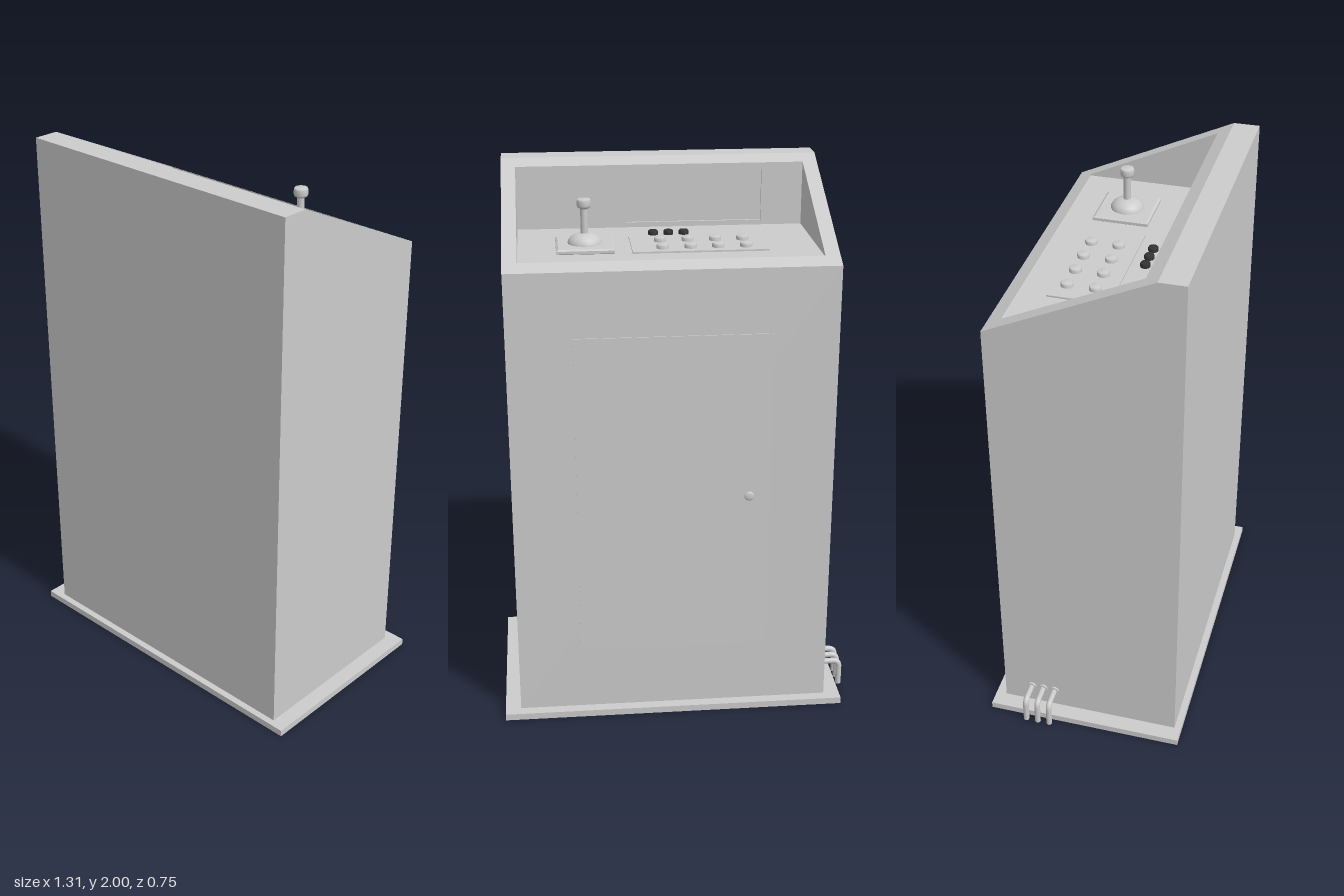
import * as THREE from 'three';

const grey = new THREE.MeshStandardMaterial({ color: 0xcccccc, side: THREE.DoubleSide });
const dark = new THREE.MeshStandardMaterial({ color: 0x333333 });

// Cabinet extents, recess opening and the sloping top
const X0 = -0.565, X1 = 0.597, Z0 = -0.335, Z1 = 0.345, Y0 = 0.02;
const RX0 = -0.512, RX1 = 0.545, RZ0 = -0.285, RZ1 = 0.2, FLOOR = 1.744;
const slopeY = z => Math.min(2, 1.725 + (z - Z0) * (0.275 / (0.25 - Z0)));

const poly = pts => new THREE.Shape(pts.map(p => new THREE.Vector2(...p)));
const rect = (a, b, c, d) => [[a, c], [b, c], [b, d], [a, d]];

export function createModel() {
  const model = new THREE.Group();

  function add(parent, name, geometry, x = 0, y = 0, z = 0, material = grey) {
    const mesh = new THREE.Mesh(geometry, material);
    mesh.name = name;
    mesh.position.set(x, y, z);
    parent.add(mesh);
    return mesh;
  }
  function group(name) {
    const g = new THREE.Group();
    g.name = name;
    model.add(g);
    return g;
  }
  // Flat sheet from a 2D outline, placed in space by the rule place(u, v)
  function sheet(parent, name, outline, place, hole) {
    const shape = poly(outline);
    if (hole) shape.holes.push(poly(hole));
    const g = new THREE.ShapeGeometry(shape);
    const p = g.attributes.position;
    for (let i = 0; i < p.count; i++) p.setXYZ(i, ...place(p.getX(i), p.getY(i)));
    // Wind every sheet so that it faces away from the inside of the cabinet
    g.computeVertexNormals();
    return add(parent, name, g);
  }

  // Base skirt: an open frame around the foot of the cabinet
  const skirt = poly(rect(-0.625, 0.655, -0.37, 0.375));
  skirt.holes.push(poly(rect(X0 + 0.01, X1 - 0.01, -Z1 + 0.01, -Z0 - 0.01)));
  const skirtGeo = new THREE.ExtrudeGeometry(skirt, { depth: 0.025, bevelEnabled: false });
  add(model, 'baseFrame', skirtGeo.rotateX(-Math.PI / 2));

  // Hollow cabinet shell
  const shell = group('cabinet');
  const side = [[Z1, Y0], [Z1, 2], [0.25, 2], [Z0, 1.725], [Z0, Y0]];
  sheet(shell, 'rightSide', side, (z, y) => [X0, y, z]);
  sheet(shell, 'leftSide', side, (z, y) => [X1, y, -z]).scale.z = -1;
  sheet(shell, 'frontPanel', rect(X0, X1, Y0, 2), (x, y) => [x, y, Z1]);
  sheet(shell, 'backPanel', rect(-X1, -X0, Y0, 1.725), (x, y) => [-x, y, Z0]);
  sheet(shell, 'topEdge', rect(X0, X1, -Z1, -0.25), (x, z) => [x, 2, -z]);
  sheet(shell, 'slopingRim', rect(X0, X1, -0.25, -Z0), (x, z) => [x, slopeY(-z), -z],
    rect(RX0, RX1, -RZ1, -RZ0));

  // Sunken control bay
  const bay = group('controlBay');
  const cheek = [[RZ0, FLOOR], [RZ1, FLOOR], [RZ1, slopeY(RZ1)], [RZ0, slopeY(RZ0)]];
  for (const [name, x] of [['bayRightWall', RX0], ['bayLeftWall', RX1]])
    sheet(bay, name, cheek, (z, y) => [x, y, z]);
  sheet(bay, 'bayFloor', rect(RX0, RX1, -RZ1, -RZ0), (x, z) => [x, FLOOR, -z]);
  sheet(bay, 'bayLip', rect(-RX1, -RX0, FLOOR, slopeY(RZ0)), (x, y) => [-x, y, RZ0]);
  const opening = rect(-0.145, 0.36, 1.762, 1.95);
  sheet(bay, 'screenWall', rect(-RX1, -RX0, FLOOR, slopeY(RZ1)), (x, y) => [-x, y, RZ1], opening);
  const [sw, sh] = [0.505, 0.188];
  add(bay, 'screen', new THREE.BoxGeometry(sw, sh, 0.01), -0.1075, 1.856, RZ1 + 0.015);
  for (const s of [-1, 1]) {
    add(bay, 'screenEdge', new THREE.BoxGeometry(sw, 0.002, 0.014), -0.1075, 1.856 + s * (sh / 2 + 0.001), RZ1 + 0.008);
    add(bay, 'screenEdge', new THREE.BoxGeometry(0.002, sh, 0.014), -0.1075 + s * (sw / 2 + 0.001), 1.856, RZ1 + 0.008);
  }

  // Push buttons on their plate, and the three dark ones behind
  const buttons = group('buttons');
  add(buttons, 'buttonPlate', new THREE.BoxGeometry(0.48, 0.006, 0.218), -0.095, FLOOR + 0.003, -0.075);
  const cap = r => new THREE.LatheGeometry(
    [[r, 0], [r, 0.012], [r * 0.85, 0.016], [0, 0.017]].map(p => new THREE.Vector2(...p)), 24);
  for (let i = 0; i < 4; i++)
    for (const z of [-0.135, -0.036])
      add(buttons, 'button', cap(0.022), -0.258 + i * 0.0985, FLOOR + 0.005, z);
  for (let i = -1; i <= 1; i++)
    add(buttons, 'darkButton', cap(0.018), -0.003 + i * 0.056, FLOOR, 0.085, dark);

  // Joystick
  const stick = group('joystick');
  stick.position.set(0.308, FLOOR, -0.077);
  const plate = new THREE.ExtrudeGeometry(poly(rect(-0.095, 0.095, -0.095, 0.095)),
    { depth: 0.01, bevelSize: 0.007, bevelThickness: 0.005, bevelSegments: 1 });
  add(stick, 'joystickPlate', plate.rotateX(-Math.PI / 2), 0, 0.002);
  const dome = [[0.06, 0.015], [0.059, 0.024], [0.052, 0.035], [0.04, 0.044], [0.027, 0.049], [0.013, 0.052]];
  add(stick, 'joystickBoot', new THREE.LatheGeometry(dome.map(p => new THREE.Vector2(...p)), 32));
  add(stick, 'joystickShaft', new THREE.CylinderGeometry(0.013, 0.013, 0.12, 20), 0, 0.1);
  const knob = [[0.013, 0.138], [0.022, 0.143], [0.025, 0.15], [0.025, 0.167], [0.022, 0.173], [0, 0.174]];
  add(stick, 'joystickKnob', new THREE.LatheGeometry(knob.map(p => new THREE.Vector2(...p)), 24));

  // Service door on the back
  const door = group('serviceDoor');
  add(door, 'doorPanel', new THREE.BoxGeometry(0.7, 1.225, 0.008), 0.015, 0.8775, Z0);
  add(door, 'doorKnob', new THREE.SphereGeometry(0.018, 24, 16), -0.258, 0.875, Z0 - 0.003).scale.z = 0.33;

  // Three cables leaving the right side and turning down to the ground
  const cables = group('cables');
  const path = new THREE.CurvePath();
  const v = (x, y) => new THREE.Vector3(x, y, 0);
  path.add(new THREE.LineCurve3(v(X0 + 0.01, 0.1), v(-0.62, 0.1)));
  path.add(new THREE.QuadraticBezierCurve3(v(-0.62, 0.1), v(-0.645, 0.1), v(-0.645, 0.075)));
  path.add(new THREE.LineCurve3(v(-0.645, 0.075), v(-0.645, 0)));
  for (const z of [-0.227, -0.181, -0.135]) {
    add(cables, 'cable', new THREE.TubeGeometry(path, 40, 0.011, 14), 0, 0, z);
    add(cables, 'cableCollar', new THREE.CylinderGeometry(0.018, 0.018, 0.008, 20).rotateZ(Math.PI / 2), X0 - 0.003, 0.1, z);
    add(cables, 'cableEnd', new THREE.CircleGeometry(0.011, 14).rotateX(Math.PI / 2), -0.645, 0.001, z);
  }

  return model;
}
